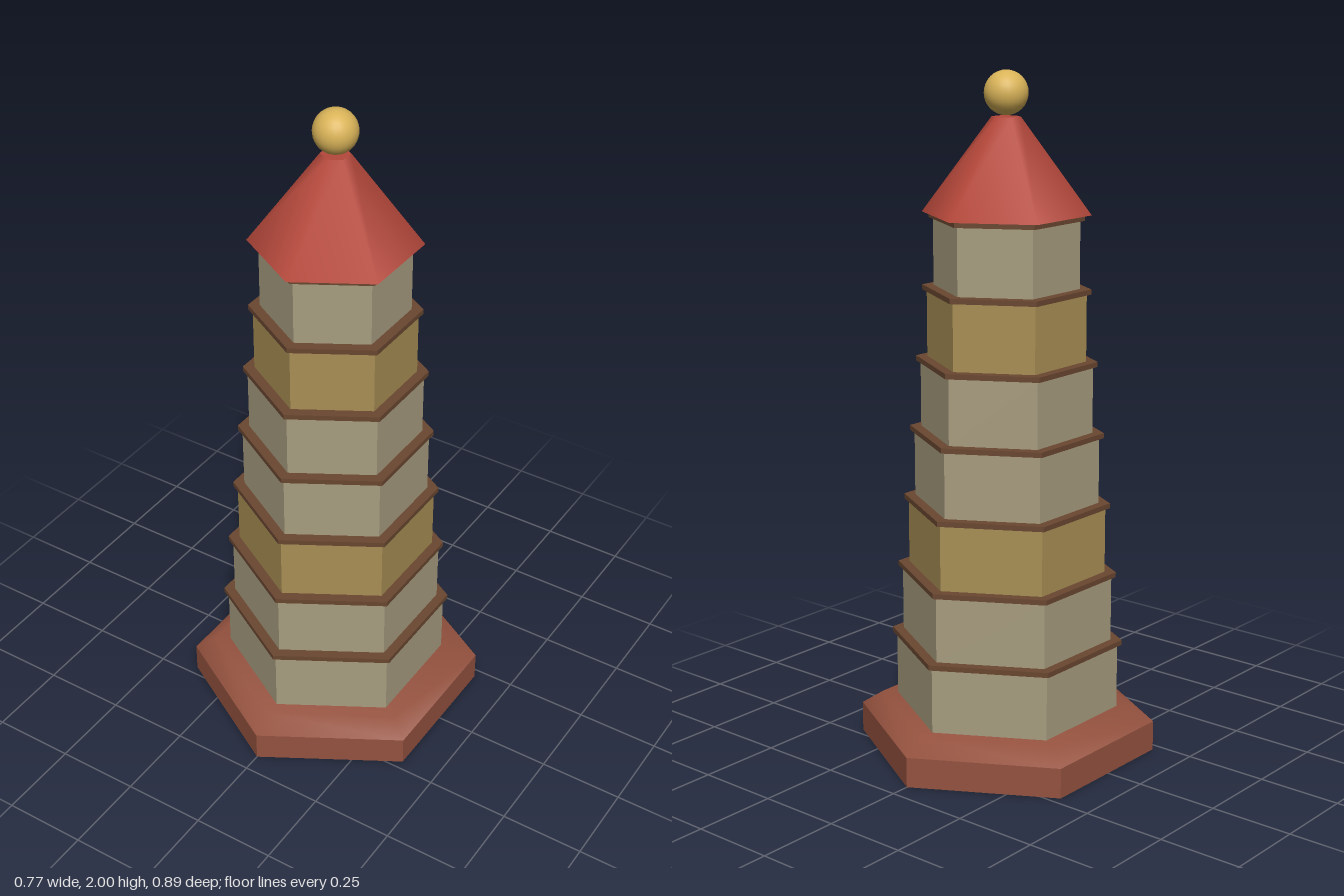
import * as THREE from 'three';
import { toCreasedNormals } from 'three/addons/utils/BufferGeometryUtils.js';

const material = (name, color, flatShading = false) => {
  const m = new THREE.MeshStandardMaterial({ color, flatShading });
  m.name = name;
  return m;
};

export function createModel() {
  const tower = new THREE.Group();
  tower.name = 'pagodaTower';

  const brick = material('brick', 0x95523f);
  const stone = material('stone', 0xa89d80, true);
  const ochre = material('ochre', 0xa98f55, true);
  const wood = material('darkWood', 0x6a4730, true);
  const red = material('redRoof', 0xb5473a);
  const gold = material('gold', 0xd9b358);

  const add = (name, geometry, mat, y) => {
    const mesh = new THREE.Mesh(geometry, mat);
    mesh.name = name;
    mesh.position.y = y;
    tower.add(mesh);
  };
  // Six-sided prism standing on y, with corners at +z and -z
  const hexPrism = (name, bottom, top, height, mat, y) =>
    add(name, new THREE.CylinderGeometry(top, bottom, height, 6), mat, y + height / 2);

  // Plinth with a softly shaded bevel
  const profile = [[0, 0], [0.444, 0], [0.444, 0.09], [0.38, 0.131], [0, 0.131]]
    .map(([r, y]) => new THREE.Vector2(r, y));
  add('plinth', toCreasedNormals(new THREE.LatheGeometry(profile, 6), Math.PI / 4), brick, 0);

  // Seven storeys, each capped by a thin ledge
  const storey = 0.2095, ledge = 0.015;
  for (let i = 0; i < 7; i++) {
    const r = 0.333 - i * 0.0202;
    const y = 0.131 + i * storey;
    const wall = i === 2 || i === 5 ? ochre : stone;
    hexPrism(`storey${i + 1}`, r, r, storey - ledge, wall, y);
    hexPrism(`ledge${i + 1}`, r + 0.013, r + 0.013, ledge, wood, y + storey - ledge);
  }

  // Roof and ball finial
  hexPrism('roof', 0.244, 0.042, 0.272, red, 1.5985);
  add('finial', new THREE.SphereGeometry(0.063, 24, 16), gold, 1.937);

  return tower;
}
